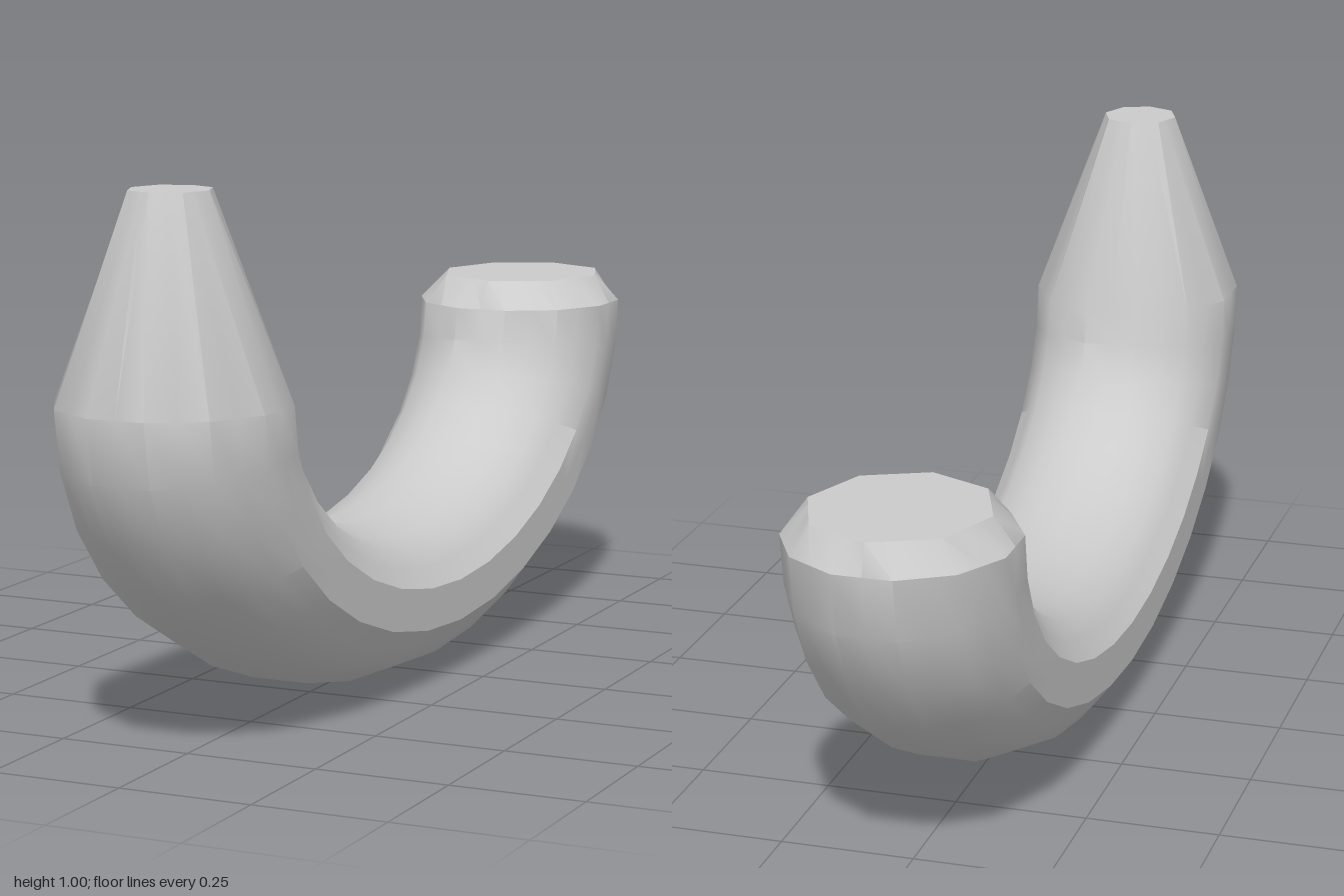
import * as THREE from 'three';
import { toCreasedNormals } from 'three/addons/utils/BufferGeometryUtils.js';

const SIDES = 24;   // samples that hit every corner of the 12-sided body and 8-sided caps
const STEPS = 16;   // rings along the curved body
const RIM = 0.63;   // height of the two ends of the curve

// Radius of a regular polygon at an angle; offset is the direction of one flat side
function polygonRadius(phi, sides, offset, apothem) {
  const step = (2 * Math.PI) / sides;
  const a = phi - offset;
  return apothem / Math.cos(a - step * Math.round(a / step));
}
const dodecagon = (phi) => polygonRadius(phi, 12, 0, 1);
const octagon = (phi) => polygonRadius(phi, 8, Math.PI / 8, Math.cos(Math.PI / 8));

// One cross-section between an outer and an inner [z, y] point, half-width rx in x
function ring(outer, inner, rx, shape) {
  const points = [];
  for (let i = 0; i < SIDES; i++) {
    const phi = (i / SIDES) * 2 * Math.PI;
    const r = shape(phi);
    const s = (r * Math.sin(phi)) / 2;
    points.push([
      rx * r * Math.cos(phi),
      (outer[1] + inner[1]) / 2 + s * (outer[1] - inner[1]),
      (outer[0] + inner[0]) / 2 + s * (outer[0] - inner[0]),
    ]);
  }
  return points;
}

// Skin the rings and close both ends
function loft(rings) {
  const positions = rings.flat(2);
  const index = [];
  for (let j = 0; j < rings.length - 1; j++) {
    for (let i = 0; i < SIDES; i++) {
      const n = (i + 1) % SIDES;
      const a = j * SIDES + i, b = j * SIDES + n;
      index.push(a, b, a + SIDES, b, b + SIDES, a + SIDES);
    }
  }
  const last = (rings.length - 1) * SIDES;
  for (let i = 1; i < SIDES - 1; i++) {
    index.push(0, i + 1, i);
    index.push(last, last + i, last + i + 1);
  }
  const geometry = new THREE.BufferGeometry();
  geometry.setAttribute('position', new THREE.Float32BufferAttribute(positions, 3));
  geometry.setIndex(index);
  return toCreasedNormals(geometry, THREE.MathUtils.degToRad(34));
}

export function createModel() {
  const group = new THREE.Group();
  group.name = 'curvedHorn';

  // Tapered front tip
  const rings = [ring([0.873, 1], [0.717, 1], 0.075, octagon)];

  // Curved body, thinner at the bottom of the bend
  const power = 2 / 1.95;
  for (let j = 0; j <= STEPS; j++) {
    const t = (j / STEPS) * Math.PI;
    const c = Math.cos(t), s = Math.max(0, Math.sin(t));
    const outer = [Math.sign(c) * Math.abs(c) ** power, RIM - RIM * s ** power];
    const inner = [0.575 * c, RIM - 0.335 * s];
    rings.push(ring(outer, inner, 0.203, dodecagon));
  }

  // Bevelled back end
  rings.push(ring([-0.98, 0.685], [-0.615, 0.685], 0.167, octagon));

  const body = new THREE.Mesh(loft(rings), new THREE.MeshStandardMaterial({ color: 0xcccccc }));
  body.name = 'hornBody';
  group.add(body);
  return group;
}
